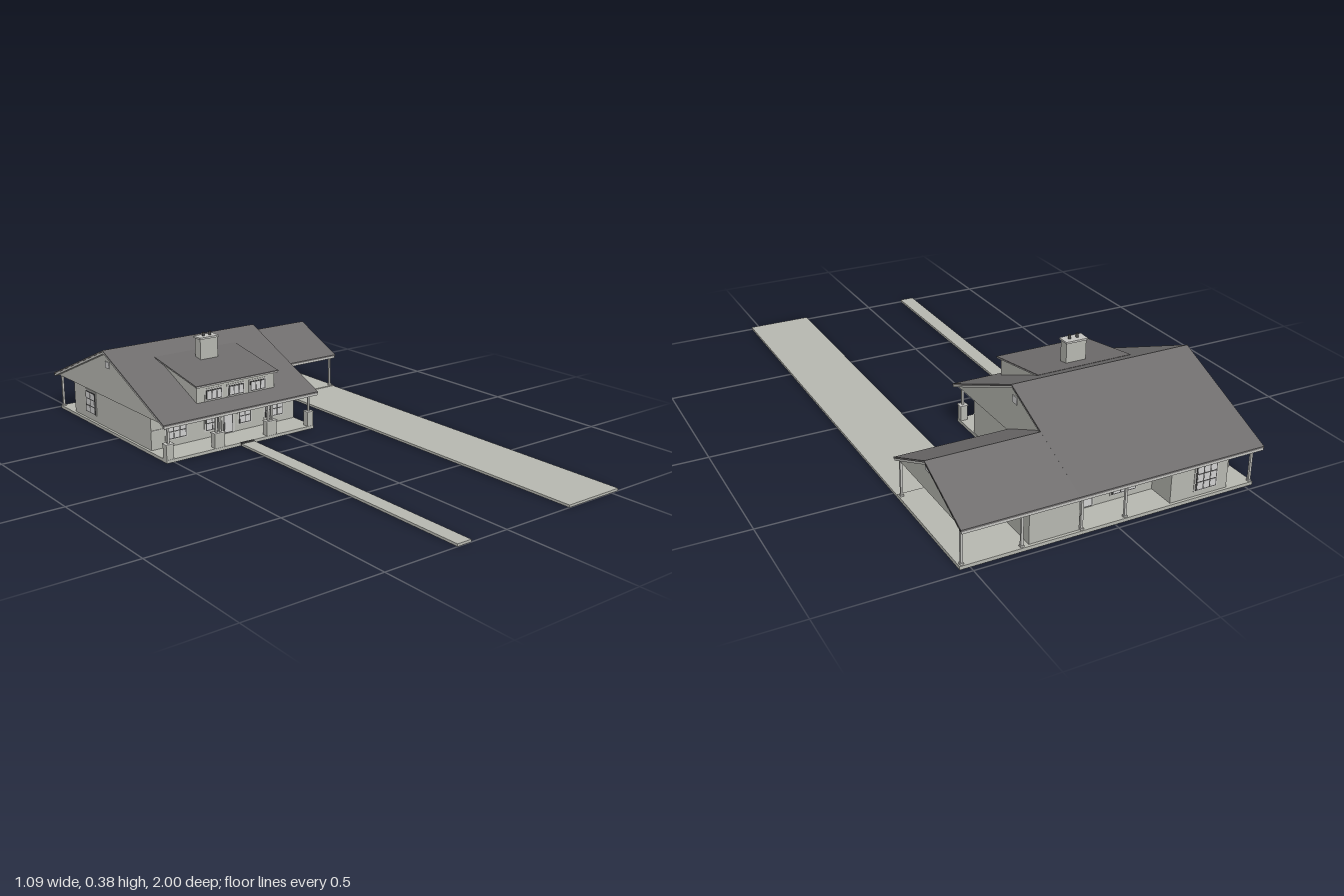
import * as THREE from 'three';

export function createModel() {
  const model = new THREE.Group();
  model.name = 'house';
  const mat = (name, color) => {
    const m = new THREE.MeshStandardMaterial({ color });
    m.name = name;
    return m;
  };
  const roofMat = mat('roof grey', 0x6e6c6c);
  const wallMat = mat('wall grey', 0xb6b7b0);
  const trimMat = mat('trim grey', 0xc2c2be);
  const paneMat = mat('pane grey', 0xcfcfcf);
  const frameMat = mat('frame grey', 0x4c4c4c);

  const add = (name, geo, m, parent = model) => {
    const mesh = new THREE.Mesh(geo, m);
    mesh.name = name;
    parent.add(mesh);
    return mesh;
  };
  // Box given by its limits on each axis
  const box = (name, m, x0, x1, y0, y1, z0, z1, parent) => {
    const mesh = add(name, new THREE.BoxGeometry(x1 - x0, y1 - y0, Math.abs(z1 - z0)), m, parent);
    mesh.position.set((x0 + x1) / 2, (y0 + y1) / 2, (z0 + z1) / 2);
    return mesh;
  };
  // Profile of [z, y] points extruded along x
  const prism = (name, m, pts, x0, x1) => {
    const shape = new THREE.Shape(pts.map(([z, y]) => new THREE.Vector2(-z, y)));
    const geo = new THREE.ExtrudeGeometry(shape, { depth: x1 - x0, bevelEnabled: false });
    geo.rotateY(Math.PI / 2);
    const mesh = add(name, geo, m);
    mesh.position.x = x0;
    return mesh;
  };
  // Sloping band of given thickness that hangs below a line of [z, y] points
  const band = (line, top, bottom) => [
    ...line.map(([z, y]) => [z, y - top]),
    ...line.map(([z, y]) => [z, y - bottom]).reverse(),
  ];

  // Ground slabs
  box('mainFloor', wallMat, -0.53, 0.128, 0, 0.012, -0.145, -0.98);
  box('wingFloor', wallMat, 0.128, 0.535, 0, 0.012, -0.53, -0.98);
  box('frontPath', wallMat, -0.212, -0.155, 0, 0.009, 1, -0.145);
  box('driveway', wallMat, 0.29, 0.535, 0, 0.009, 1, -0.53);
  box('frontStep', frameMat, -0.212, -0.155, 0.002, 0.014, -0.138, -0.146);

  // Walls
  box('mainWalls', wallMat, -0.52, 0.125, 0.012, 0.145, -0.27, -0.87);
  box('backRoom', wallMat, -0.43, -0.21, 0.012, 0.145, -0.87, -0.97);
  box('wingWalls', wallMat, 0.125, 0.3, 0.012, 0.145, -0.55, -0.97);
  box('wallLedge', trimMat, -0.52, 0.125, 0.083, 0.087, -0.267, -0.272);

  // Roofs with pale rake boards and gable fills
  const roofs = [
    { name: 'main', line: [[-0.135, 0.148], [-0.567, 0.332], [-1, 0.148]], x0: -0.545, x1: 0.143, g0: -0.527, g1: 0.127 },
    { name: 'wing', line: [[-0.525, 0.148], [-0.757, 0.251], [-1, 0.148]], x0: 0.127, x1: 0.54, g0: 0.126, g1: 0.528 },
  ];
  for (const { name, line, x0, x1, g0, g1 } of roofs) {
    prism(name + 'Roof', roofMat, band(line, 0, 0.006), x0, x1);
    prism(name + 'Rake', trimMat, band(line, 0.006, 0.014), x0 + 0.002, x1 - 0.002);
    const [f, r, b] = line;
    prism(name + 'Gable', wallMat, [[f[0] - 0.012, 0.139], [r[0], r[1] - 0.007], [b[0] + 0.012, 0.139]], g0, g1);
  }
  box('mainGableVent', paneMat, 0.127, 0.13, 0.26, 0.285, -0.55, -0.58);
  box('leftGableVent', paneMat, -0.53, -0.527, 0.26, 0.285, -0.55, -0.58);
  box('wingGableVent', paneMat, 0.528, 0.531, 0.213, 0.234, -0.742, -0.768);

  // Window or glazed door: dark frame plate with a grid of light panes
  const glazing = (name, x, y, z, w, h, cols, rows, turn = 0) => {
    const g = new THREE.Group();
    g.name = name;
    g.position.set(x, y, z);
    g.rotation.y = turn;
    model.add(g);
    box('surround', trimMat, -w / 2 - 0.006, w / 2 + 0.006, -h / 2 - 0.004, h / 2 + 0.006, 0, 0.002, g);
    box('frame', frameMat, -w / 2, w / 2, -h / 2, h / 2, 0, 0.004, g);
    const e = 0.004, cw = (w - e) / cols, ch = (h - e) / rows;
    for (let i = 0; i < cols; i++) for (let j = 0; j < rows; j++) {
      const px = -w / 2 + e + i * cw, py = -h / 2 + e + j * ch;
      box('pane', paneMat, px, px + cw - e, py, py + ch - e, 0.003, 0.005, g);
    }
  };
  const front = -0.27;
  for (const x of [-0.414, 0.028]) {
    glazing('largeWindow', x, 0.083, front, 0.084, 0.086, 3, 3);
    box('lintel', frameMat, x - 0.036, x + 0.036, 0.13, 0.134, front, front + 0.006);
  }
  for (const x of [-0.259, -0.109]) glazing('smallWindow', x, 0.083, front, 0.054, 0.086, 2, 3);
  box('doorSurround', trimMat, -0.215, -0.156, 0.012, 0.122, front, front + 0.003);
  glazing('frontDoor', -0.186, 0.064, front, 0.042, 0.1, 1, 1);
  glazing('sideWindow', -0.52, 0.083, -0.73, 0.075, 0.086, 2, 3, -Math.PI / 2);
  glazing('backWindow', -0.345, 0.078, -0.97, 0.08, 0.09, 3, 3, Math.PI);
  glazing('patioDoor', 0.06, 0.07, -0.87, 0.085, 0.11, 2, 1, Math.PI);
  glazing('patioWindow', -0.1, 0.078, -0.87, 0.09, 0.09, 3, 2, Math.PI);
  box('wingDoor', paneMat, 0.21, 0.265, 0.015, 0.118, -0.55, -0.546);
  box('carportDoor', paneMat, 0.3, 0.304, 0.015, 0.122, -0.757, -0.807);

  // Dormer
  prism('dormerWalls', wallMat, [[-0.205, 0.172], [-0.205, 0.243], [-0.46, 0.286], [-0.46, 0.27]], -0.362, -0.015);
  const dormerLine = [[-0.19, 0.247], [-0.482, 0.297]];
  prism('dormerRoof', roofMat, band(dormerLine, 0, 0.004), -0.372, -0.005);
  prism('dormerTrim', trimMat, band(dormerLine, 0.004, 0.008), -0.37, -0.007);
  for (const x of [-0.288, -0.19, -0.092]) glazing('dormerWindow', x, 0.202, -0.205, 0.068, 0.038, 3, 1);

  // Chimney
  box('chimney', wallMat, -0.225, -0.147, 0.25, 0.362, -0.388, -0.426);
  box('chimneyCap', trimMat, -0.229, -0.143, 0.36, 0.367, -0.383, -0.431);
  for (const x of [-0.199, -0.169]) {
    const pot = add('chimneyPot', new THREE.CylinderGeometry(0.005, 0.005, 0.016, 10), frameMat);
    pot.position.set(x, 0.374, -0.407);
  }

  // Front porch piers and posts
  const piers = [[-0.515, 0.03, 1], [-0.303, 0.044, 2], [-0.069, 0.044, 2], [0.114, 0.026, 1]];
  for (const [x, w, count] of piers) {
    box('porchPier', wallMat, x - w / 2, x + w / 2, 0.012, 0.068, -0.146, -0.172);
    box('pierCap', trimMat, x - w / 2 - 0.002, x + w / 2 + 0.002, 0.066, 0.07, -0.144, -0.174);
    for (let i = 0; i < count; i++) {
      const px = x + (i - (count - 1) / 2) * 0.016;
      box('porchPost', trimMat, px - 0.004, px + 0.004, 0.07, 0.14, -0.155, -0.163);
    }
  }

  // Carport and back porch posts with small feet
  const posts = [[0.325, -0.545], [0.525, -0.545], [0.525, -0.97], [0.325, -0.97], [0.118, -0.97], [-0.04, -0.97], [-0.522, -0.97]];
  for (const [x, z] of posts) {
    box('roofPost', trimMat, x - 0.004, x + 0.004, 0.012, 0.14, z - 0.004, z + 0.004);
    box('postFoot', trimMat, x - 0.006, x + 0.006, 0.012, 0.018, z - 0.006, z + 0.006);
  }
  return model;
}
